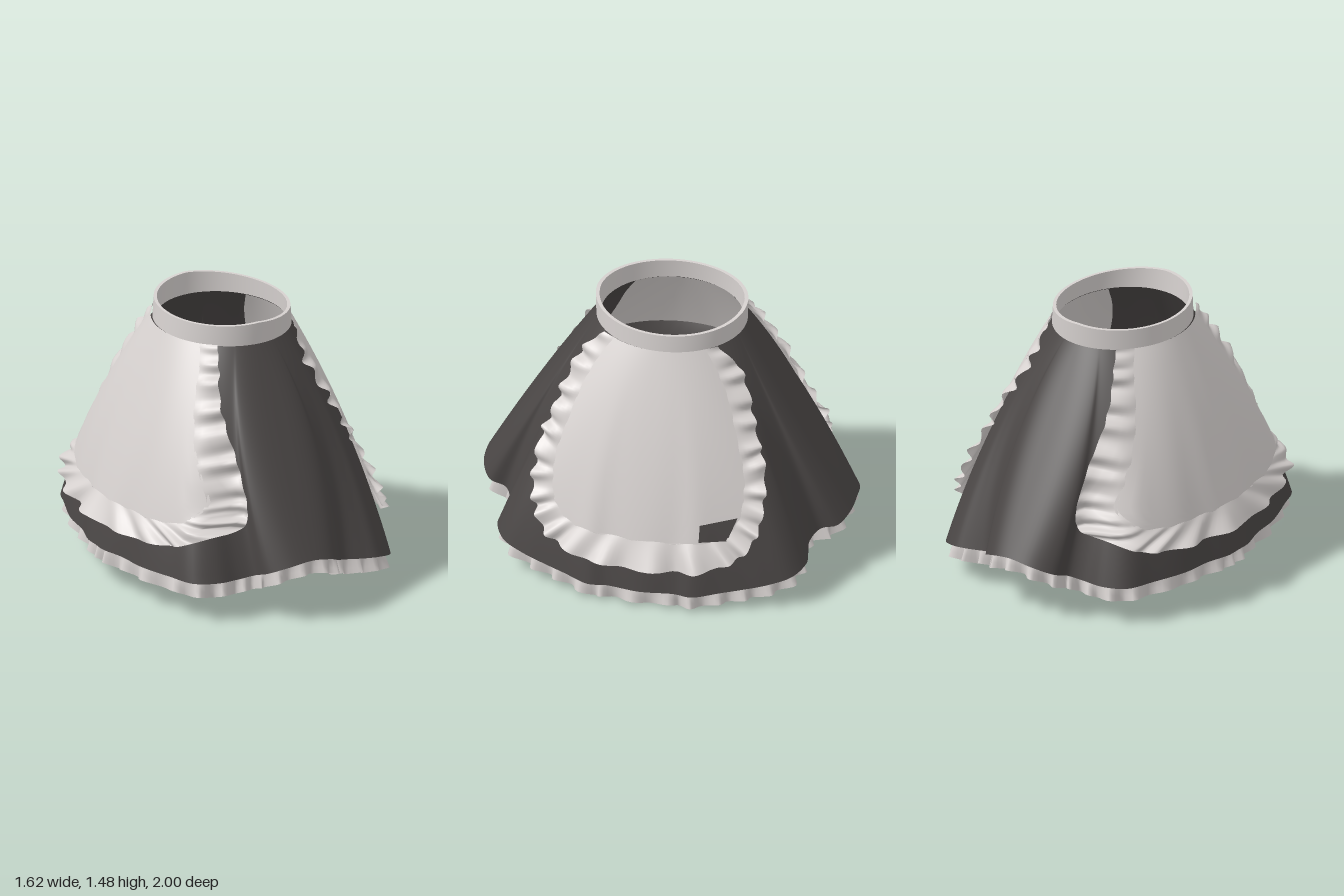
import * as THREE from 'three';

const dark = new THREE.MeshStandardMaterial({ name: 'charcoal cloth', color: 0x4a4645, side: THREE.DoubleSide });
const pale = new THREE.MeshStandardMaterial({ name: 'pale cloth', color: 0xd6d1cf, side: THREE.DoubleSide });
const lerp = THREE.MathUtils.lerp;
const WAIST_Y = 1.37;

// Grid surface from fn(u, v) -> [x, y, z]; closed joins the ends of u.
function grid(name, material, nu, nv, closed, fn) {
  const cols = closed ? nu : nu + 1, pos = [], idx = [];
  for (let j = 0; j <= nv; j++)
    for (let i = 0; i < cols; i++) pos.push(...fn(i / nu, j / nv));
  for (let j = 0; j < nv; j++)
    for (let i = 0; i < nu; i++) {
      const a = j * cols + i, b = j * cols + (i + 1) % cols, c = a + cols, d = b + cols;
      idx.push(a, b, c, b, d, c);
    }
  const g = new THREE.BufferGeometry();
  g.setAttribute('position', new THREE.Float32BufferAttribute(pos, 3));
  g.setIndex(idx);
  g.computeVertexNormals();
  const m = new THREE.Mesh(g, material);
  m.name = name;
  return m;
}

// Pleated hem line, one half, from +x round to -x
const half = [
  [.76, .10, 0], [.74, .10, .18], [.75, .10, .28], [.70, .115, .42], [.66, .13, .54], [.62, .15, .66],
  [.56, .18, .78], [.455, .205, .835], [.37, .21, .825], [.27, .22, .81], [.19, .25, .85], [.18, .28, .94],
  [.10, .32, .99], [-.02, .34, 1], [-.15, .32, .985], [-.25, .28, .92], [-.27, .24, .82], [-.35, .22, .785],
  [-.47, .22, .785], [-.59, .22, .725], [-.65, .22, .58], [-.72, .22, .38], [-.74, .22, .22],
  [-.78, .22, .08], [-.78, .22, 0],
];
const mirrored = half.slice(1, -1).reverse().map(([x, y, z]) => [x, y, -z]);
const hem = new THREE.CatmullRomCurve3([...half, ...mirrored].map(p => new THREE.Vector3(...p)), true);
const hemAt = u => hem.getPoint(((u % 1) + 1) % 1);
const boxy = t => Math.sign(t) * Math.abs(t) ** .58;

// Point on the skirt: folds fade out towards the waist
function skirt(u, f, h = hemAt(u)) {
  const a = Math.atan2(h.z, (h.x + .01) / .77), c = Math.cos(a), s = Math.sin(a);
  const hx = lerp(-.01 + .76 * boxy(c), h.x, f), hz = lerp(.96 * boxy(s), h.z, f);
  const gx = f + .4 * f * (1 - f), gz = f + .15 * f * (1 - f);
  return [lerp(-.02 + .345 * c, hx, gx), lerp(WAIST_Y, h.y, f), lerp(.39 * s, hz, gz)];
}

// Point lifted off the skirt at a given z and y, on the +x or -x side
function onSkirt(side, z, y, lift) {
  let lo = 13 / 48, hi = side > 0 ? -13 / 48 : 35 / 48, p;
  for (let i = 0; i < 22; i++) {
    const u = (lo + hi) / 2, h = hemAt(u);
    p = skirt(u, THREE.MathUtils.clamp((WAIST_Y - y) / (WAIST_Y - h.y), 0, 1), h);
    if (p[2] > z) lo = u; else hi = u;
  }
  const n = new THREE.Vector3(p[0] / .5, .3, p[2] / .9).normalize();
  return [p[0] + n.x * lift, y + n.y * lift, z + n.z * lift];
}

// Apron outlines as (z, y) half curves; the right apron is wider and shorter
const outline = pts => new THREE.CatmullRomCurve3(pts.map(([z, y]) => new THREE.Vector3(z, y, 0)));
const aprons = [
  {
    name: 'leftApron', side: 1,
    inner: outline([[.24, 1.36], [.32, 1.24], [.39, 1.1], [.45, .92], [.50, .75], [.51, .62],
      [.49, .5], [.42, .42], [.28, .39], [0, .38]]),
    outer: outline([[.29, 1.36], [.40, 1.24], [.475, 1.08], [.53, .92], [.58, .78], [.60, .6],
      [.58, .45], [.51, .33], [.34, .26], [0, .235]]),
  },
  {
    name: 'rightApron', side: -1,
    inner: outline([[.26, 1.36], [.32, 1.26], [.39, 1.1], [.49, .9], [.59, .73], [.65, .6],
      [.60, .52], [.45, .485], [.25, .48], [0, .48]]),
    outer: outline([[.33, 1.36], [.39, 1.26], [.47, 1.11], [.57, .93], [.67, .75], [.745, .6],
      [.74, .49], [.64, .41], [.42, .37], [0, .36]]),
  },
];

function apron({ name, side, inner, outer }) {
  const group = new THREE.Group();
  group.name = name;
  const panel = (lift, end) => (u, v) => {
    const p = inner.getPoint(v * end);
    return onSkirt(side, p.x * (1 - 2 * u), p.y, lift);
  };
  group.add(grid('apronPanel', pale, 28, 36, false, panel(.016, 1)));
  group.add(grid('apronLining', pale, 16, 12, false, panel(-.012, .35)));

  // Gathered frill round the panel, tucked under its edge
  group.add(grid('apronFrill', pale, 260, 5, false, (u, v) => {
    const t = 1 - Math.abs(1 - 2 * u), s = u < .5 ? 1 : -1;
    const a = inner.getPoint(t), b = outer.getPoint(t), w = lerp(-.1, 1, v);
    const wave = Math.sin(u * 26 * Math.PI * 2) + .3 * Math.sin(u * 41 * Math.PI * 2);
    const lift = .014 + v * (.018 + .025 * t + .02 * wave * Math.min(1, .3 + 4 * t));
    return onSkirt(side, s * lerp(a.x, b.x, w), lerp(a.y, b.y, w), lift);
  }));
  return group;
}

export function createModel() {
  const model = new THREE.Group();
  model.name = 'skirt';

  model.add(grid('skirtCloth', dark, 240, 24, true, (u, v) => skirt(u, v)));

  // Turned-in hem edge
  model.add(grid('hemFold', dark, 240, 1, true, (u, v) => {
    const h = hemAt(u), s = 1 - .04 * v;
    return [h.x * s, h.y + .01 * v, h.z * s];
  }));

  // Petticoat frill below the hem
  model.add(grid('petticoatFrill', pale, 352, 4, true, (u, v) => {
    const h = hemAt(u), wave = Math.sin(u * 44 * Math.PI * 2);
    const s = .945 + .015 * v + .034 * v * wave;
    return [h.x * s, h.y + .035 - v * (.127 - .012 * wave), h.z * s];
  }));

  // Waistband, outside, over the top edge and down the inside
  const band = [[.356, .402, 0], [.346, .405, 1], [.33, .385, 1], [.335, .378, 0]];
  model.add(...[0, 1, 2].map(k => grid('waistband', pale, 72, 1, true, (u, v) => {
    const a = u * Math.PI * 2, c = Math.cos(a), [rx, rz, h] = band[k + v];
    return [-.02 + rx * c, lerp(1.36, 1.475 - .02 * Math.abs(c) + .005 * (1 - c), h), rz * Math.sin(a)];
  })));

  model.add(...aprons.map(apron));

  // Dark fold showing through the left apron
  model.add(grid('showingFold', dark, 6, 4, false, (u, v) =>
    onSkirt(1, lerp(-.3, lerp(-.44, -.485, v), u), lerp(.41, lerp(.5, .53, u), v), .022)));

  // Shorts inside the skirt
  const shorts = new THREE.Group();
  shorts.name = 'shorts';
  shorts.add(grid('shortsHips', dark, 64, 6, true, (u, v) => {
    const a = u * Math.PI * 2;
    return [lerp(.46, .37, Math.sqrt(v)) * Math.cos(a), lerp(1.0, .6, v), lerp(.55, .72, v) * Math.sin(a)];
  }));
  for (const side of [1, -1])
    shorts.add(grid('shortsLeg', dark, 64, 6, true, (u, v) => {
      const a = u * Math.PI * 2, c = Math.cos(a), s = Math.sin(a);
      const top = s >= 0 ? [.37 * c, .6, .72 * s] : [.37 * c, .39 + .21 * c * c, 0];
      const hole = [.3 * c, .37, .37 + .3 * s];
      const e = v * (2 - v);
      return [lerp(top[0], hole[0], v), lerp(top[1], hole[1], e), side * lerp(top[2], hole[2], v)];
    }));
  model.add(shorts);
  return model;
}
